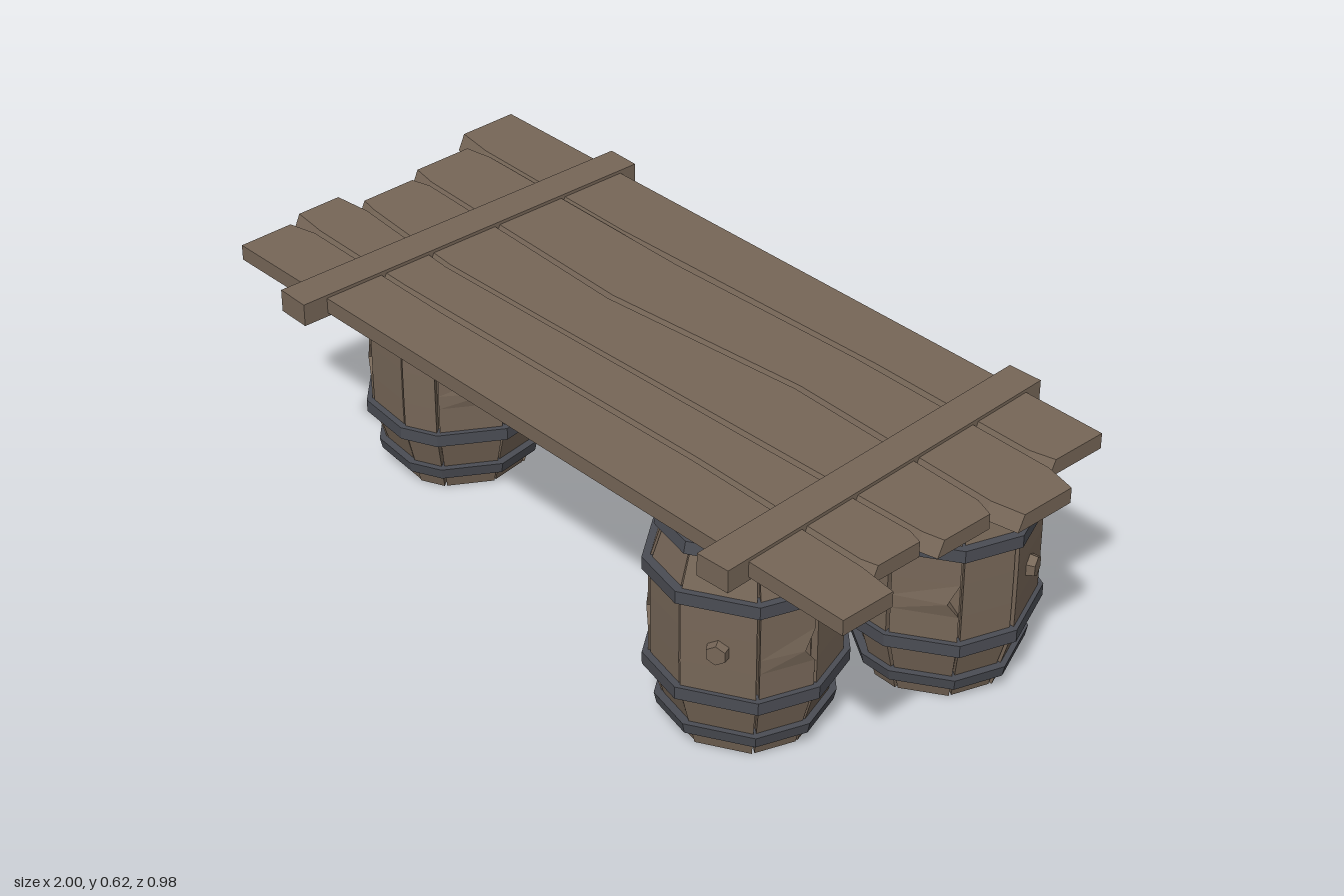
import * as THREE from 'three';

const wood = new THREE.MeshStandardMaterial({ color: 0x776758, flatShading: true });
wood.name = 'weathered wood';
const iron = new THREE.MeshStandardMaterial({ color: 0x4b4d54, flatShading: true });
iron.name = 'dark iron';

// Closed solid through a row of equal-length loops of [x, y, z] points
function loft(loops) {
  const pos = [], n = loops[0].length, last = loops.length - 1;
  const tri = (...pts) => pts.forEach((p) => pos.push(...p));
  for (let i = 0; i < last; i++) {
    for (let j = 0; j < n; j++) {
      const k = (j + 1) % n, lo = loops[i], hi = loops[i + 1];
      tri(lo[j], hi[j], lo[k]);
      tri(lo[k], hi[j], hi[k]);
    }
  }
  for (let j = 1; j < n - 1; j++) {
    tri(loops[0][0], loops[0][j], loops[0][j + 1]);
    tri(loops[last][0], loops[last][j + 1], loops[last][j]);
  }
  const g = new THREE.BufferGeometry();
  g.setAttribute('position', new THREE.Float32BufferAttribute(pos, 3));
  g.computeVertexNormals();
  return g;
}

function add(parent, name, geometry, material) {
  const mesh = new THREE.Mesh(geometry, material);
  mesh.name = name;
  parent.add(mesh);
  return mesh;
}

// Uneven stave joints around the barrel, in degrees from +x towards +z
const JOINTS = [0, 37, 85, 121, 164, 188, 226, 263, 301, 321];
const polar = (deg, r, y) => {
  const a = THREE.MathUtils.degToRad(deg);
  return [Math.cos(a) * r, y, Math.sin(a) * r];
};
const ring = (r, y) => JOINTS.map((a) => polar(a, r, y));

function barrel(name, x, z, turn) {
  const g = new THREE.Group();
  g.name = name;

  // Staves, three of them chipped at one edge
  const profile = [[0, 0.162], [0.17, 0.211], [0.25, 0.212], [0.285, 0.212], [0.335, 0.212], [0.42, 0.211], [0.578, 0.162]];
  JOINTS.forEach((start, i) => {
    const end = i === JOINTS.length - 1 ? 360 : JOINTS[i + 1];
    const chipped = i % 3 === 0 && i < 9;
    const lift = [0, 0.002, -0.003][i % 3];
    add(g, 'stave', loft(profile.map(([y, r], level) => {
      const a = start + 1 + (chipped && level === 3 ? 7 : 0), b = end - 1;
      const out = r + lift, inn = r - 0.03;
      return [polar(a, out, y), polar(b, out, y), polar(b, inn, y), polar(a, inn, y)];
    })), wood);
  });

  // Inner body whose ends are the recessed heads
  add(g, 'barrelHeads', loft([ring(0.148, 0.02), ring(0.195, 0.17), ring(0.195, 0.42), ring(0.148, 0.56)]), wood);

  // Iron hoops
  for (const [y0, y1, r0, r1] of [
    [0.042, 0.07, 0.194, 0.2], [0.153, 0.184, 0.226, 0.226],
    [0.403, 0.434, 0.226, 0.226], [0.516, 0.544, 0.2, 0.194],
  ]) add(g, 'hoop', loft([ring(r0, y0), ring(r1, y1)]), iron);

  // Six-sided bung on the widest stave
  const bung = add(g, 'bung', new THREE.CylinderGeometry(0.024, 0.031, 0.04, 6), wood);
  bung.position.set(...polar(61, 0.196, 0.295));
  bung.rotation.set(Math.PI / 2, 0, THREE.MathUtils.degToRad(-29), 'YXZ');
  bung.rotation.y = THREE.MathUtils.degToRad(29);
  bung.rotation.z = 0;

  g.position.set(x, 0, z);
  g.rotation.y = THREE.MathUtils.degToRad(-turn);
  return g;
}

// Deck planks: stations of [x, back edge z, front edge z]
const PLANKS = [
  [[-1, -0.44, -0.29], [-0.9, -0.44, -0.275], [-0.4, -0.44, -0.264], [0.4, -0.44, -0.285], [0.85, -0.44, -0.28], [0.91, -0.44, -0.295]],
  [[-0.94, -0.25, -0.095], [-0.87, -0.262, -0.082], [-0.2, -0.25, -0.055], [0.35, -0.268, -0.102], [0.92, -0.262, -0.085], [1, -0.242, -0.1]],
  [[-0.91, -0.055, 0.09], [-0.86, -0.068, 0.1], [-0.55, -0.055, 0.128], [-0.2, -0.038, 0.122], [0.35, -0.086, 0.108], [0.9, -0.068, 0.096], [0.95, -0.05, 0.085]],
  [[-0.965, 0.125, 0.24], [-0.87, 0.115, 0.252], [-0.55, 0.142, 0.26], [0.4, 0.123, 0.248], [0.88, 0.112, 0.255], [0.92, 0.125, 0.245]],
  [[-0.94, 0.285, 0.425], [-0.87, 0.268, 0.425], [-0.4, 0.276, 0.425], [0.4, 0.263, 0.425], [0.9, 0.272, 0.425], [1, 0.285, 0.425]],
];

export function createModel() {
  const model = new THREE.Group();
  model.name = 'barrelTable';

  // Barrels under the deck
  model.add(
    barrel('frontLeftBarrel', 0.512, 0.21, 0),
    barrel('backLeftBarrel', 0.66, -0.24, -85),
    barrel('rightBarrel', -0.67, 0.02, -111),
  );

  // Planks, each sloping out along its front edge to meet the next one
  const deck = new THREE.Group();
  deck.name = 'deck';
  model.add(deck);
  PLANKS.forEach((stations, i) => {
    const slope = i < 4 ? 0.018 : 0;
    add(deck, 'plank', loft(stations.map(([x, back, front]) => [
      [x, 0.614, front], [x, 0.614, back], [x, 0.576, back], [x, 0.576, front + slope],
    ])), wood);
  });

  // Crosswise battens, slightly askew
  for (const [name, x, skew] of [['rightBatten', -0.655, -0.027], ['leftBatten', 0.673, 0.047]]) {
    const batten = add(model, name, new THREE.BoxGeometry(0.086, 0.055, 0.975), wood);
    batten.position.set(x, 0.5945, 0);
    batten.rotation.y = skew;
  }
  return model;
}
